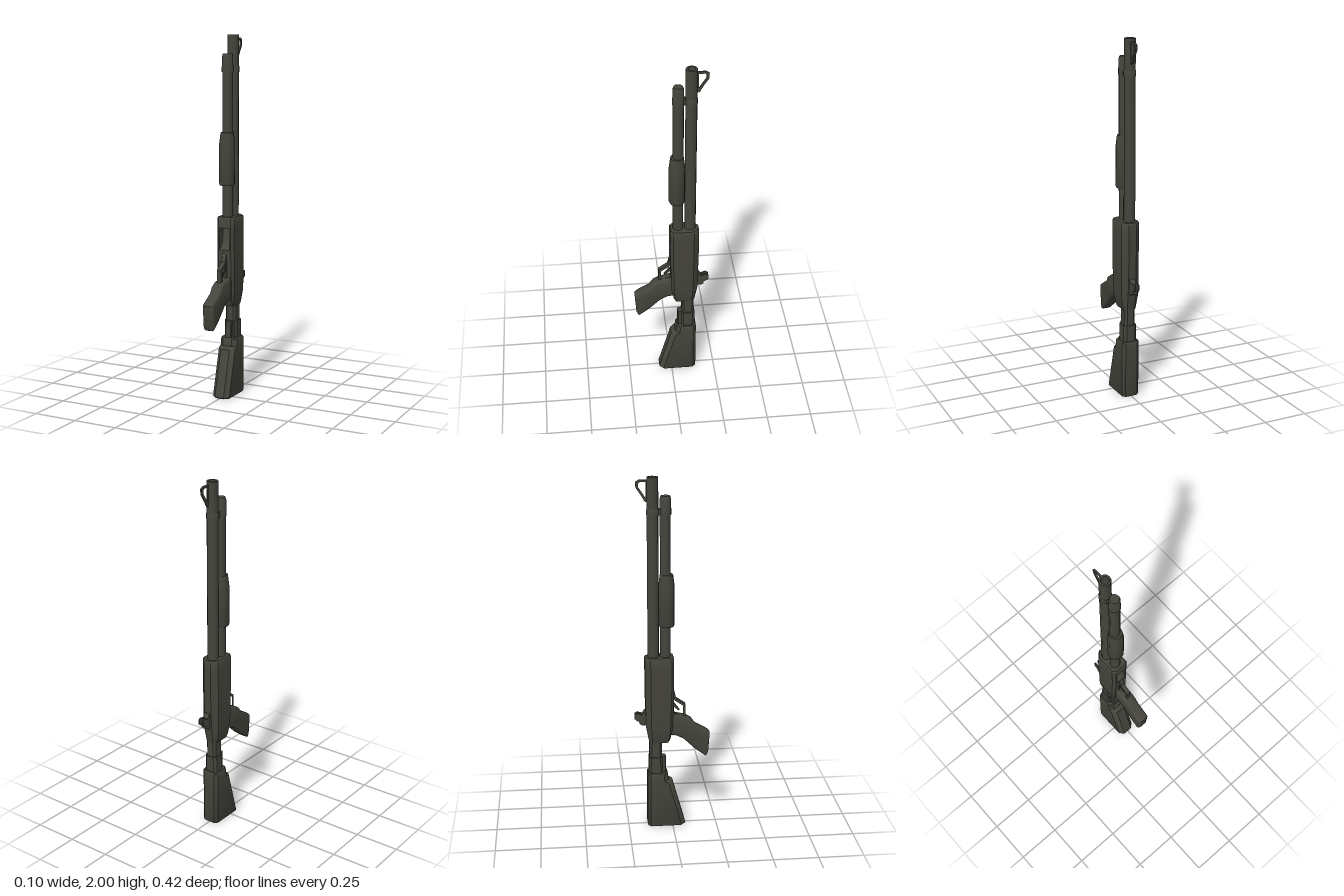
import * as THREE from 'three';
import { toCreasedNormals } from 'three/addons/utils/BufferGeometryUtils.js';

const X = -0.004; // centre line of the tubes

export function createModel() {
  const root = new THREE.Group();
  const gunmetal = new THREE.MeshStandardMaterial({ color: 0x45453d });
  gunmetal.name = 'gunmetal';

  const add = (name, geo, x = 0, y = 0, z = 0, crease = 0.7) => {
    const mesh = new THREE.Mesh(toCreasedNormals(geo, crease), gunmetal);
    mesh.name = name;
    mesh.position.set(x, y, z);
    root.add(mesh);
    return mesh;
  };

  // Solid skinned over horizontal rings, listed from bottom to top
  const loft = (rings) => {
    const pos = [];
    const n = rings[0].length;
    const tri = (...pts) => pts.forEach((p) => pos.push(...p));
    for (let r = 0; r < rings.length - 1; r++) {
      for (let i = 0; i < n; i++) {
        const j = (i + 1) % n;
        const [a, b, c, d] = [rings[r][i], rings[r][j], rings[r + 1][j], rings[r + 1][i]];
        tri(a, b, c);
        tri(a, c, d);
      }
    }
    const bottom = rings[0], top = rings[rings.length - 1];
    for (let i = 1; i < n - 1; i++) {
      tri(bottom[0], bottom[i + 1], bottom[i]);
      tri(top[0], top[i], top[i + 1]);
    }
    const geo = new THREE.BufferGeometry();
    geo.setAttribute('position', new THREE.Float32BufferAttribute(pos, 3));
    return geo;
  };

  // Chamfered rectangle; w = half width, cf / cb = front and back chamfers
  const ring = (y, w, front, back, cf, cb, recess = null) => {
    const half = [[w - cf, front], [w, front - cf], [w, back + cb], [w - cb, back]];
    if (recess !== null) half.unshift([0.03, front - recess], [0.03, front]);
    return [
      ...half.map(([x, z]) => [x, y, z]),
      ...half.slice().reverse().map(([x, z]) => [-x, y, z]),
    ];
  };

  // Side profile of [z, y] points, extruded across x and centred
  const toShape = (pts) => new THREE.Shape(pts.map(([z, y]) => new THREE.Vector2(z, y)));
  const side = (pts, width, bevel = 0, hole = null) => {
    const shape = toShape(pts);
    if (hole) shape.holes.push(toShape(hole));
    const depth = width - 2 * bevel;
    const geo = new THREE.ExtrudeGeometry(shape, {
      depth, bevelEnabled: bevel > 0, bevelSize: bevel, bevelThickness: bevel,
      bevelOffset: -bevel, bevelSegments: 2,
    });
    return geo.translate(0, 0, -depth / 2).rotateY(-Math.PI / 2);
  };

  const lathe = (pts) =>
    new THREE.LatheGeometry(pts.map(([r, y]) => new THREE.Vector2(r, y)), 12);

  // Hollow barrel
  add('barrel', lathe([[0, 0.98], [0.031, 0.98], [0.031, 2], [0.02, 2], [0.02, 1.85], [0, 1.85]]), X, 0, -0.104);

  // Magazine tube with its cap
  add('magazineTube', lathe([[0, 0.98], [0.029, 0.98], [0.029, 1.81], [0, 1.81]]), X, 0, -0.037);
  add('magazineCap', lathe([[0, 1.8], [0.032, 1.8], [0.032, 1.83], [0.03, 1.84], [0.03, 1.885], [0.025, 1.9], [0, 1.9]]), X, 0, -0.036);

  // Clamp joining both tubes
  add('barrelClamp', lathe([[0, 1.8], [0.034, 1.8], [0.034, 1.828], [0.031, 1.835], [0, 1.835]]), X, 0, -0.103);
  add('clampBridge', new THREE.BoxGeometry(0.035, 0.032, 0.05), X, 1.816, -0.07);

  // Sliding fore-end
  add('foreEnd', lathe([[0, 1.185], [0.04, 1.185], [0.044, 1.195], [0.044, 1.41], [0.036, 1.475], [0, 1.475]]), X, 0, -0.031);

  // Receiver with a recessed loading port and a narrowing lower end
  add('receiver', loft([
    ring(0.51, 0.036, -0.024, -0.13, 0.005, 0.015, 0),
    ring(0.535, 0.042, -0.012, -0.135, 0.008, 0.02, 0),
    ring(0.6, 0.052, 0, -0.147, 0.013, 0.028, 0),
    ring(0.83, 0.052, 0.008, -0.152, 0.015, 0.03, 0),
    ring(0.87, 0.052, 0.008, -0.152, 0.015, 0.03, 0.035),
    ring(0.95, 0.052, 0.008, -0.152, 0.015, 0.03, 0.04),
    ring(0.951, 0.052, 0.008, -0.152, 0.015, 0.03, 0),
    ring(1.005, 0.052, 0.008, -0.152, 0.015, 0.03, 0),
    ring(1.013, 0.048, 0.004, -0.148, 0.015, 0.03, 0),
  ]));

  // Trigger guard and trigger
  add('triggerGuard', side(
    [[-0.01, 0.83], [0.01, 0.815], [0.022, 0.765], [0.073, 0.73], [0.073, 0.62], [-0.01, 0.62]], 0.025, 0,
    [[0.008, 0.765], [0.014, 0.752], [0.059, 0.721], [0.059, 0.66], [0.008, 0.68]],
  ));
  add('trigger', side([[-0.005, 0.74], [0.012, 0.735], [0.042, 0.695], [0.036, 0.69], [0.006, 0.715], [-0.005, 0.71]], 0.012));

  // Pistol grip
  add('pistolGrip', side([
    [-0.03, 0.55], [0.02, 0.547], [0.063, 0.525], [0.127, 0.462], [0.19, 0.415], [0.202, 0.44],
    [0.21, 0.555], [0.19, 0.572], [0.127, 0.608], [0.105, 0.64], [0.07, 0.66], [0.02, 0.672], [-0.03, 0.69],
  ], 0.066, 0.013), 0, 0, 0, 0.9);

  // Rear sight: base and two wings
  add('rearSightBase', side([[-0.14, 0.7], [-0.155, 0.695], [-0.168, 0.675], [-0.183, 0.665], [-0.183, 0.62], [-0.165, 0.61], [-0.14, 0.615]], 0.034), 0.002);
  for (const x of [-0.01, 0.014]) {
    add('rearSightWing', side([[-0.165, 0.675], [-0.195, 0.685], [-0.21, 0.675], [-0.21, 0.65], [-0.195, 0.638], [-0.165, 0.63]], 0.009), x);
  }

  // Front sight: open hooked blade
  add('frontSight', side(
    [[-0.125, 1.985], [-0.175, 1.985], [-0.193, 1.975], [-0.192, 1.945], [-0.165, 1.905], [-0.145, 1.87], [-0.125, 1.865]], 0.009, 0,
    [[-0.139, 1.973], [-0.17, 1.973], [-0.179, 1.965], [-0.179, 1.948], [-0.155, 1.912], [-0.139, 1.888]],
  ), 0.001);

  // Stock neck, sleeve and butt
  add('stockNeck', loft([ring(0.3, 0.031, -0.06, -0.128, 0.012, 0.012), ring(0.53, 0.031, -0.06, -0.128, 0.012, 0.012)]));
  add('stockSleeve', loft([ring(0.3, 0.038, -0.058, -0.133, 0.01, 0.014), ring(0.42, 0.038, -0.058, -0.133, 0.01, 0.014)]));
  add('stockSleeveRidge', loft([ring(0.3, 0.02, -0.034, -0.09, 0.005, 0.005), ring(0.42, 0.02, -0.036, -0.09, 0.005, 0.005)]));
  add('stockButt', loft([
    ring(0, 0.048, 0.068, -0.138, 0.024, 0.016),
    ring(0.006, 0.051, 0.073, -0.141, 0.024, 0.016),
    ring(0.265, 0.051, 0.002, -0.141, 0.024, 0.016),
    ring(0.28, 0.051, -0.022, -0.141, 0.024, 0.016),
    ring(0.32, 0.051, -0.027, -0.141, 0.024, 0.016),
    ring(0.326, 0.047, -0.032, -0.137, 0.024, 0.016),
  ]));

  return root;
}
